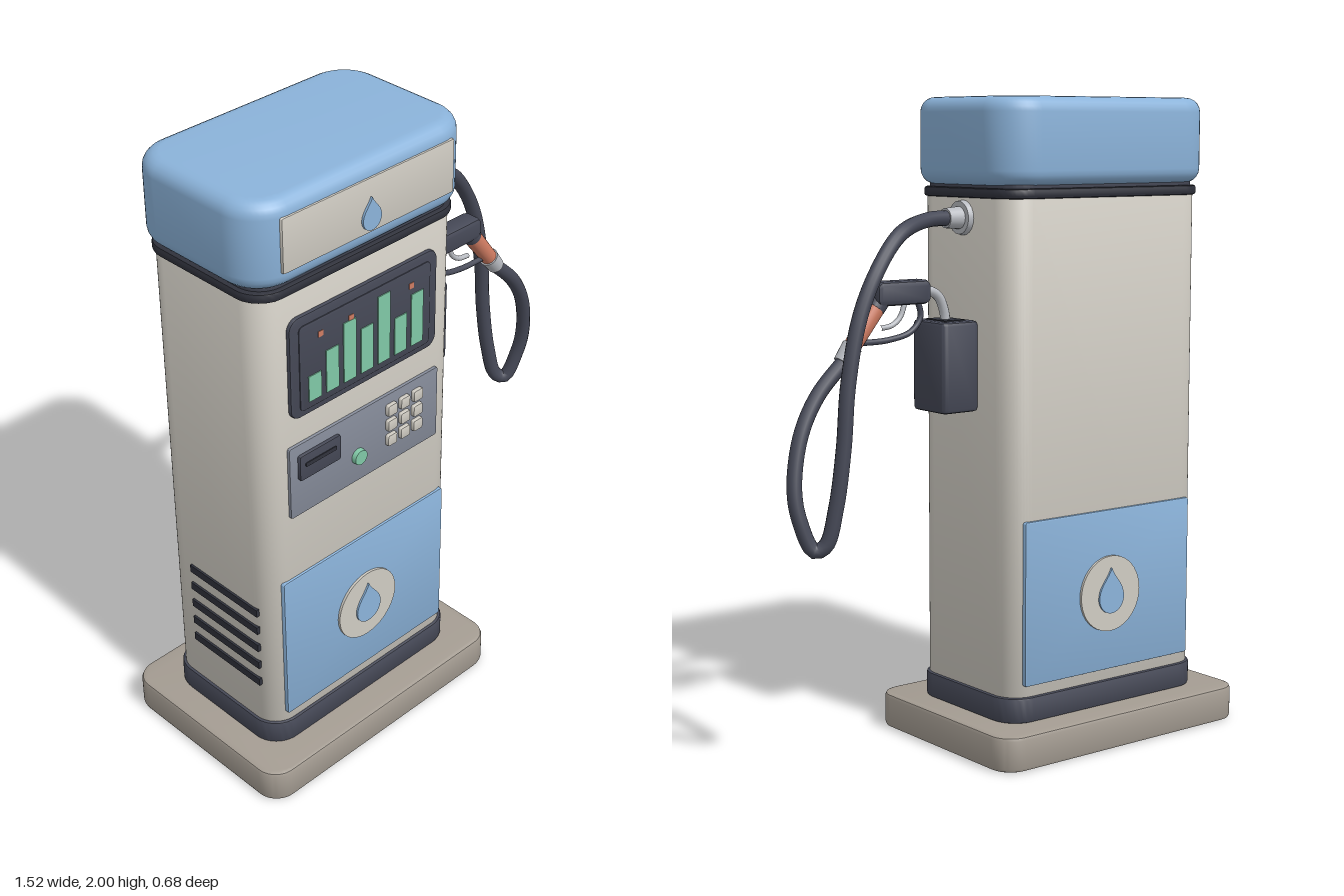
import * as THREE from 'three';
import { toCreasedNormals } from 'three/addons/utils/BufferGeometryUtils.js';

const mat = (name, color) => {
  const m = new THREE.MeshStandardMaterial({ color });
  m.name = name;
  return m;
};
const M = {
  cream: mat('cream paint', 0xd0ccc3),
  blue: mat('blue paint', 0x8bb3da),
  dark: mat('dark rubber', 0x464957),
  black: mat('black plastic', 0x30323c),
  stone: mat('concrete', 0xa49c92),
  grey: mat('panel grey', 0x858b99),
  green: mat('display green', 0x80c8a6),
  orange: mat('grip orange', 0xd07c62),
  silver: mat('silver metal', 0xb8bbc1),
};
const CX = -0.28; // centre of the cabinet

function roundedRect(w, h, r) {
  const s = new THREE.Shape(), x = w / 2, y = h / 2;
  s.absarc(x - r, y - r, r, 0, Math.PI / 2);
  s.absarc(-x + r, y - r, r, Math.PI / 2, Math.PI);
  s.absarc(-x + r, -y + r, r, Math.PI, Math.PI * 1.5);
  s.absarc(x - r, -y + r, r, Math.PI * 1.5, Math.PI * 2);
  s.closePath();
  return s;
}

// Rounded slab with bevelled rims, extruded along z from 0 to depth
function slabGeometry(w, h, depth, r, bevel, segments = 2) {
  const g = new THREE.ExtrudeGeometry(roundedRect(w - 2 * bevel, h - 2 * bevel, Math.max(r - bevel, 0.002)), {
    depth: depth - 2 * bevel, bevelThickness: bevel, bevelSize: bevel, bevelSegments: segments, curveSegments: 6,
  });
  g.translate(0, 0, bevel);
  return toCreasedNormals(g, 0.7);
}

function dropShape(w, h) {
  const s = new THREE.Shape(), r = w / 2, b = -h / 2;
  s.moveTo(0, h / 2);
  s.bezierCurveTo(-r * 0.3, h * 0.25, -r, b + r * 1.8, -r, b + r);
  s.absarc(0, b + r, r, Math.PI, Math.PI * 2);
  s.bezierCurveTo(r, b + r * 1.8, r * 0.3, h * 0.25, 0, h / 2);
  return s;
}

export function createModel() {
  const root = new THREE.Group();
  root.name = 'fuelPump';

  const add = (name, geometry, material, x = 0, y = 0, z = 0, parent = root) => {
    const m = new THREE.Mesh(geometry, material);
    m.name = name;
    m.position.set(x, y, z);
    parent.add(m);
    return m;
  };
  // Upright block standing on y0
  const block = (name, material, w, d, y0, y1, r, bevel, seg) =>
    add(name, slabGeometry(w, d, y1 - y0, r, bevel, seg).rotateX(-Math.PI / 2), material, CX, y0, 0);
  // Plate given by its edges, facing +z
  const plate = (name, material, x0, x1, y0, y1, z0, z1, r = 0.006, bevel = 0.003, parent = root) =>
    add(name, slabGeometry(x1 - x0, y1 - y0, z1 - z0, r, bevel), material, (x0 + x1) / 2, (y0 + y1) / 2, z0, parent);
  const drop = (w, h, x, y, z, parent) =>
    add('dropEmblem', new THREE.ExtrudeGeometry(dropShape(w, h), { depth: 0.008, bevelEnabled: false, curveSegments: 10 }),
      M.blue, x, y, z, parent);
  const tube = (name, material, pts, r, segs, parent = root) =>
    add(name, new THREE.TubeGeometry(new THREE.CatmullRomCurve3(pts.map(p => new THREE.Vector3(...p))), segs, r, 12),
      material, 0, 0, 0, parent);
  const rod = (name, material, a, b, r0, r1, parent = root) => {
    const p = new THREE.Vector3(...a), q = new THREE.Vector3(...b), dir = q.clone().sub(p);
    const m = add(name, new THREE.CylinderGeometry(r1, r0, dir.length(), 20), material, 0, 0, 0, parent);
    m.position.copy(p).add(q).multiplyScalar(0.5);
    m.quaternion.setFromUnitVectors(new THREE.Vector3(0, 1, 0), dir.normalize());
    return m;
  };

  // Cabinet
  block('base', M.stone, 0.97, 0.68, 0, 0.11, 0.075, 0.012);
  block('plinth', M.dark, 0.79, 0.49, 0.11, 0.19, 0.09, 0.008);
  block('body', M.cream, 0.77, 0.47, 0.185, 1.71, 0.08, 0.004);
  block('neck', M.black, 0.79, 0.49, 1.7, 1.73, 0.09, 0.008);
  block('neckCore', M.dark, 0.76, 0.46, 1.725, 1.76, 0.08, 0.004);
  block('cap', M.blue, 0.83, 0.52, 1.737, 2, 0.125, 0.045, 5);

  // Sign on the cap
  plate('sign', M.cream, -0.6, 0.045, 1.79, 1.955, 0.235, 0.266);
  drop(0.07, 0.1, CX, 1.85, 0.265);

  // Doors with round emblems, front and back
  for (const side of [1, -1]) {
    const door = new THREE.Group();
    door.name = side > 0 ? 'frontDoor' : 'backDoor';
    door.position.x = CX;
    if (side < 0) door.rotation.y = Math.PI;
    root.add(door);
    plate('doorPanel', M.blue, -0.335, 0.335, 0.225, 0.735, 0.225, 0.243, 0.008, 0.003, door);
    add('emblemDisc', new THREE.CylinderGeometry(0.12, 0.12, 0.01, 40).rotateX(Math.PI / 2), M.cream, 0, 0.47, 0.246, door);
    drop(0.1, 0.145, 0, 0.48, 0.249, door);
  }

  // Display with bar chart
  plate('displayBezel', M.dark, -0.57, 0.005, 1.295, 1.62, 0.228, 0.247, 0.035, 0.005);
  plate('displayScreen', M.dark, -0.537, -0.025, 1.315, 1.59, 0.245, 0.25, 0.015, 0.001);
  [1.42, 1.475, 1.533, 1.485, 1.56, 1.46, 1.51].forEach((top, i) => {
    const x = -0.483 + i * 0.0672;
    add('chartBar', new THREE.BoxGeometry(0.048, top - 1.337, 0.004), M.green, x, (top + 1.337) / 2, 0.251);
  });
  for (const x of [-0.458, -0.342, -0.103])
    add('chartMark', new THREE.BoxGeometry(0.018, 0.018, 0.004), M.orange, x, 1.54, 0.25);

  // Payment panel
  plate('controlPanel', M.grey, -0.58, 0.02, 0.96, 1.205, 0.228, 0.245, 0.008);
  plate('cardReader', M.dark, -0.55, -0.39, 1.085, 1.17, 0.24, 0.256, 0.008);
  plate('cardSlot', M.black, -0.53, -0.41, 1.128, 1.142, 0.254, 0.259, 0.004, 0.001);
  add('startButton', new THREE.CylinderGeometry(0.024, 0.026, 0.02, 24).rotateX(Math.PI / 2), M.green, -0.313, 1.05, 0.25);
  for (let i = 0; i < 3; i++) for (let j = 0; j < 3; j++) {
    const x = -0.18 + i * 0.0535, y = 1.153 - j * 0.053;
    plate('key', M.cream, x - 0.019, x + 0.019, y - 0.019, y + 0.019, 0.24, 0.258, 0.006, 0.004);
  }

  // Vent slats on the right side
  for (let i = 0; i < 5; i++)
    add('ventSlat', new THREE.BoxGeometry(0.012, 0.026, 0.3), M.black, -0.666, 0.35 + i * 0.068, 0.03);

  // Hose and its outlet
  rod('outletFlange', M.silver, [0.1, 1.64, 0], [0.122, 1.64, 0], 0.054, 0.05);
  rod('outletCollar', M.silver, [0.12, 1.64, 0], [0.172, 1.64, 0], 0.034, 0.03);
  tube('hose', M.dark, [
    [0.15, 1.64, 0], [0.25, 1.637, -0.015], [0.38, 1.6, -0.06], [0.48, 1.5, -0.088], [0.55, 1.37, -0.1],
    [0.597, 1.18, -0.107], [0.615, 1, -0.108], [0.638, 0.83, -0.1], [0.665, 0.72, -0.085], [0.693, 0.705, -0.068],
    [0.73, 0.8, -0.047], [0.735, 0.89, -0.032], [0.7, 1.03, -0.013], [0.635, 1.14, -0.002], [0.53, 1.245, 0],
  ], 0.023, 120);

  // Holster
  const holster = add('holster', slabGeometry(0.137, 0.166, 0.275, 0.022, 0.012).rotateX(-Math.PI / 2), M.dark, 0.1725, 1.06, 0);
  add('holsterSlot', new THREE.BoxGeometry(0.075, 0.006, 0.1), M.black, 0, 0.275, 0, holster);

  // Nozzle
  const nozzle = new THREE.Group();
  nozzle.name = 'nozzle';
  root.add(nozzle);
  tube('spout', M.silver, [[0.172, 1.31, 0], [0.177, 1.36, 0], [0.197, 1.405, 0], [0.228, 1.425, 0], [0.27, 1.427, 0]], 0.015, 24, nozzle);
  plate('nozzleBody', M.dark, 0.245, 0.437, 1.39, 1.462, -0.034, 0.034, 0.02, 0.014, nozzle);
  rod('nozzleNeck', M.dark, [0.4, 1.42, 0], [0.43, 1.383, 0], 0.03, 0.03, nozzle);
  rod('grip', M.orange, [0.42, 1.395, 0], [0.518, 1.268, 0], 0.029, 0.026, nozzle);
  rod('ferrule', M.silver, [0.51, 1.278, 0], [0.546, 1.232, 0], 0.031, 0.027, nozzle);
  tube('triggerGuard', M.dark, [[0.275, 1.4, 0], [0.265, 1.35, 0], [0.3, 1.308, 0], [0.38, 1.288, 0], [0.5, 1.285, 0]], 0.009, 28, nozzle);
  tube('trigger', M.silver, [[0.32, 1.4, 0], [0.34, 1.352, 0], [0.37, 1.33, 0], [0.41, 1.324, 0]], 0.008, 16, nozzle);

  return root;
}
